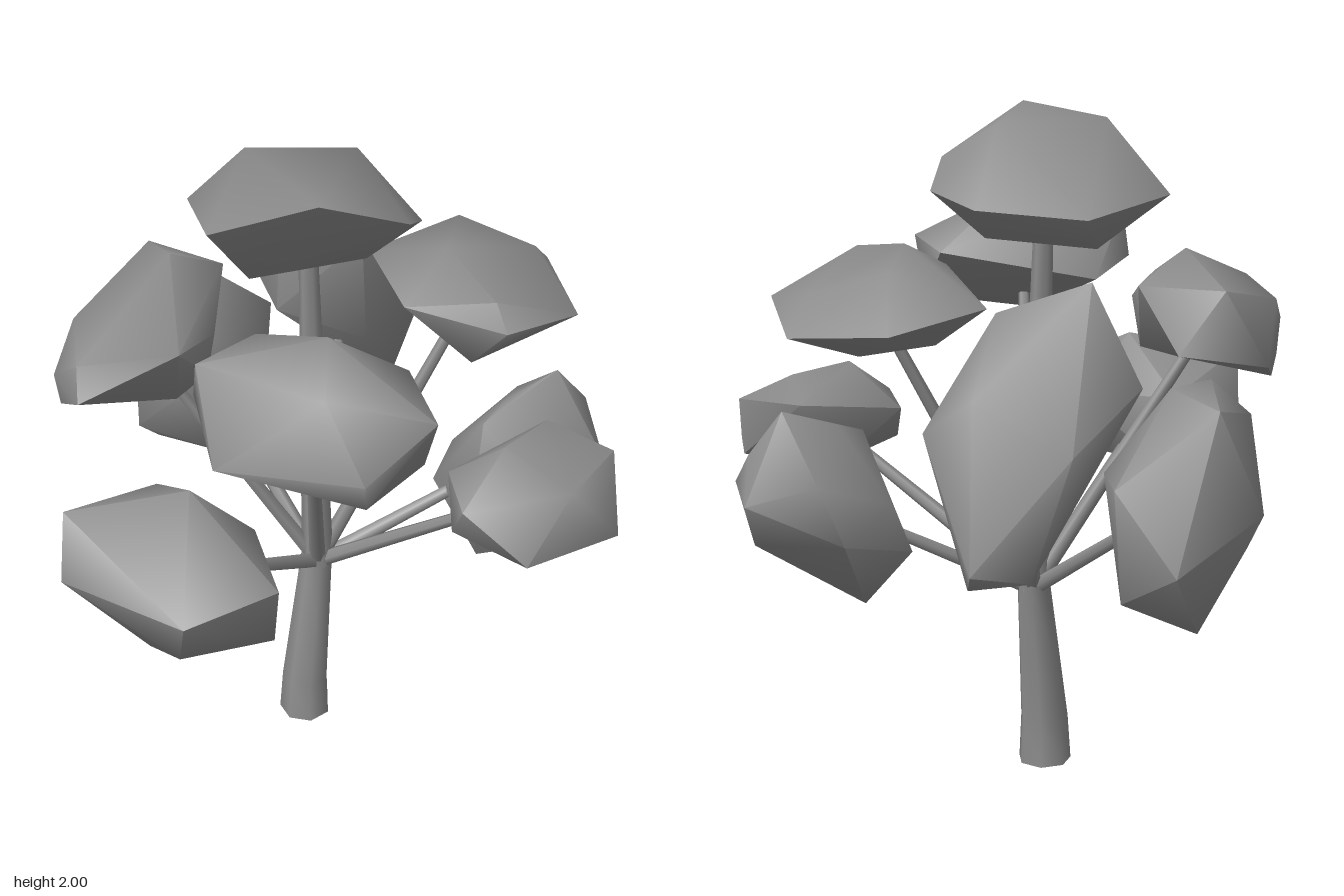
import * as THREE from 'three';
import { toCreasedNormals } from 'three/addons/utils/BufferGeometryUtils.js';
import { ConvexGeometry } from 'three/addons/geometries/ConvexGeometry.js';

const grey = new THREE.MeshStandardMaterial({ color: 0x8c8c8c });
grey.name = 'plain grey';

// Tapered straight limb between two points
function limb(from, to, r0, r1) {
  const dir = to.clone().sub(from);
  const geometry = new THREE.CylinderGeometry(r1, r0, dir.length(), 6);
  const mesh = new THREE.Mesh(geometry, grey);
  mesh.position.copy(from).addScaledVector(dir, 0.5);
  mesh.quaternion.setFromUnitVectors(new THREE.Vector3(0, 1, 0), dir.normalize());
  return mesh;
}

export function createModel() {
  const tree = new THREE.Group();
  tree.name = 'tree';

  // Trunk: a turned profile leaning backwards above its foot
  const profile = [[0, 0], [0.082, 0], [0.074, 0.14], [0.062, 0.37], [0.05, 0.6], [0, 0.62]];
  const trunkGeometry = new THREE.LatheGeometry(profile.map((p) => new THREE.Vector2(...p)), 7);
  const pos = trunkGeometry.attributes.position;
  for (let i = 0; i < pos.count; i++) {
    const lean = Math.max(0, pos.getY(i) - 0.12) * 0.13;
    pos.setX(i, pos.getX(i) - 0.04);
    pos.setZ(i, pos.getZ(i) - 0.033 - lean);
  }
  const trunk = new THREE.Mesh(toCreasedNormals(trunkGeometry, 1.0), grey);
  trunk.name = 'trunk';
  tree.add(trunk);

  // One pebble-like leaf clump, wrapped round its corners, with the branch that carries it
  const fork = new THREE.Vector3(-0.035, 0.57, -0.09);
  function addClump(name, corners, r0 = 0.026, r1 = 0.016) {
    const points = corners.map((c) => new THREE.Vector3(...c));
    const clump = new THREE.Mesh(toCreasedNormals(new ConvexGeometry(points), 1.1), grey);
    clump.name = name + 'Clump';
    const centre = new THREE.Vector3();
    points.forEach((p) => centre.addScaledVector(p, 1 / points.length));
    const branch = limb(fork, centre, r0, r1);
    branch.name = name + 'Branch';
    tree.add(clump, branch);
  }

  addClump('crown', [
    [0.16, 2, 0.16], [-0.23, 1.99, 0], [0, 1.975, -0.22], [-0.118, 1.88, 0.3],
    [-0.42, 1.78, 0.036], [-0.34, 1.74, -0.276], [0.257, 1.857, -0.127], [0.19, 1.78, -0.28],
    [-0.036, 1.757, -0.387], [-0.31, 1.645, -0.18], [0.055, 1.645, -0.2], [-0.12, 1.66, 0.12]],
  0.05, 0.026);

  addClump('front', [
    [0.02, 1.235, 0.56], [0.37, 1.07, 0.6], [0.32, 0.85, 0.56], [0, 0.775, 0.73],
    [-0.34, 0.94, 0.64], [-0.25, 1.17, 0.79], [-0.22, 1.08, 0.435], [-0.175, 1.02, 0.89],
    [0.24, 1.03, 0.85], [-0.2, 0.84, 0.45], [0.12, 1.05, 0.4], [0.15, 0.83, 0.77],
    [-0.13, 0.88, 0.79]]);

  addClump('upperFrontLeft', [
    [0.295, 1.71, 0.29], [0.4, 1.53, 0.06], [0.627, 1.54, 0.24], [0.56, 1.36, 0.2],
    [0.575, 1.45, 0.49], [0.565, 1.365, 0.47], [0.305, 1.305, 0.45], [0.205, 1.445, 0.67],
    [0.03, 1.64, 0.53], [0.1, 1.68, 0.36], [0.42, 1.64, 0.46], [-0.02, 1.5, 0.485],
    [-0.01, 1.45, 0.305]]);

  addClump('upperFrontRight', [
    [-0.437, 1.62, 0.1], [-0.64, 1.535, -0.03], [-0.38, 1.53, -0.07], [-0.19, 1.49, 0.35],
    [-0.35, 1.39, 0.605], [-0.4, 1.47, 0.55], [-0.545, 1.36, 0.5], [-0.545, 1.25, 0.48],
    [-0.57, 1.2, 0.4], [-0.61, 1.45, 0.34], [-0.73, 1.31, 0.065], [-0.565, 1.365, -0.16],
    [-0.26, 1.3, 0.15], [-0.27, 1.275, 0.28], [-0.23, 1.45, 0.15]]);

  addClump('right', [
    [-0.68, 1.32, -0.18], [-0.735, 1.2, -0.045], [-0.48, 1.21, -0.12], [-0.41, 1.04, -0.3],
    [-0.5, 0.72, -0.2], [-0.72, 0.74, -0.12], [-0.735, 0.81, -0.045], [-0.55, 1, -0.04],
    [-0.9, 0.99, -0.275], [-0.8, 1.28, -0.35], [-0.62, 1.31, -0.3], [-0.76, 0.655, -0.38],
    [-0.6, 0.75, -0.52], [-0.8, 0.87, -0.57], [-0.6, 1.08, -0.56]]);

  addClump('backRight', [
    [-0.46, 1.61, -0.45], [-0.17, 1.5, -0.48], [-0.135, 1.22, -0.78], [-0.27, 0.8, -0.77],
    [-0.36, 0.885, -0.89], [-0.48, 0.86, -0.78], [-0.57, 1.2, -0.72], [-0.62, 1.34, -0.45],
    [-0.38, 1.25, -0.32], [-0.2, 1.1, -0.55], [-0.3, 1.33, -0.79]]);

  addClump('upperBackLeft', [
    [-0.005, 1.46, -0.75], [0.275, 1.44, -0.835], [0.565, 1.48, -0.55], [0.51, 1.53, -0.26],
    [0.21, 1.55, -0.175], [-0.12, 1.5, -0.45], [0.08, 1.61, -0.63], [0.2, 1.645, -0.395],
    [0.45, 1.6, -0.29], [0.3, 1.54, -0.72], [0.34, 1.36, -0.42], [0.22, 1.35, -0.59],
    [0.02, 1.39, -0.5], [0.4, 1.4, -0.25]]);

  addClump('left', [
    [0.575, 1.215, -0.18], [0.77, 1.13, -0.47], [0.8, 1.14, -0.2], [0.89, 0.96, -0.325],
    [0.715, 0.865, -0.19], [0.51, 0.94, -0.3], [0.57, 1.09, 0.015], [0.775, 0.97, -0.02],
    [0.41, 1.08, -0.14], [0.5, 0.96, -0.04], [0.535, 1.14, -0.47], [0.735, 0.97, -0.495],
    [0.7, 1.18, -0.3]]);

  addClump('lowerBackLeft', [
    [0.33, 0.555, -0.44], [0.575, 0.68, -0.5], [0.63, 0.94, -0.66], [0.43, 0.94, -0.855],
    [0.44, 1.178, -0.67], [0.35, 1.08, -0.41], [0.36, 1.12, -0.52], [0.5, 1.06, -0.75],
    [0.14, 0.755, -0.46], [0.18, 0.9, -0.5], [0.42, 0.86, -0.26], [0.47, 0.8, -0.77],
    [0.58, 0.86, -0.47], [0.25, 1, -0.75], [0.2, 0.82, -0.7]]);

  return tree;
}
